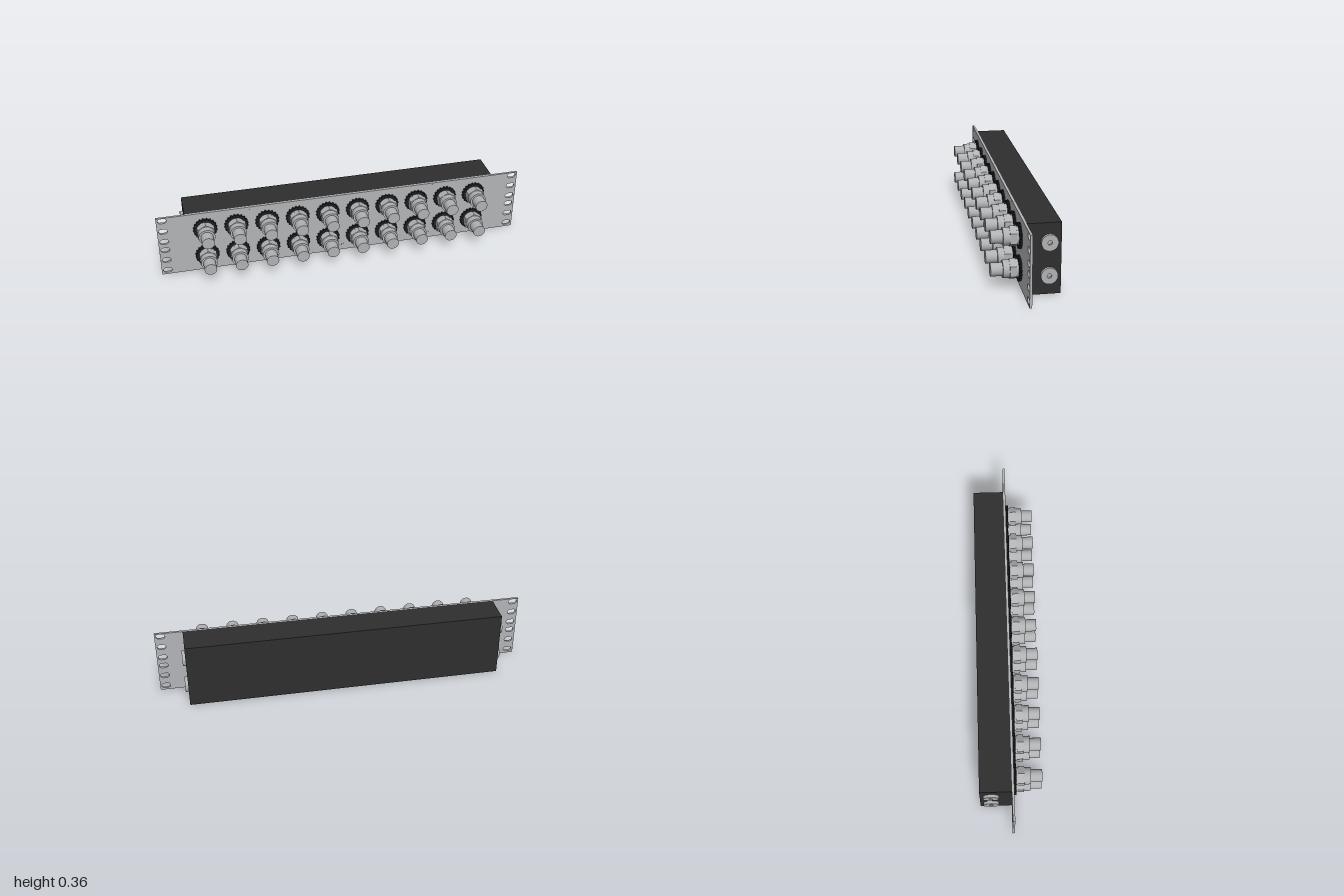
import * as THREE from 'three';

const mat = (name, color) => {
  const m = new THREE.MeshStandardMaterial({ color });
  m.name = name;
  return m;
};

// Closed outline from a radius rule, r(i), around the origin
function outline(Type, n, radius, phase = 0) {
  const pts = [];
  for (let i = 0; i < n; i++) {
    const a = phase + (i / n) * Math.PI * 2, r = radius(i);
    pts.push(new THREE.Vector2(Math.cos(a) * r, Math.sin(a) * r));
  }
  return new Type(pts);
}

const extrude = (shape, z0, z1) =>
  new THREE.ExtrudeGeometry(shape, { depth: z1 - z0, bevelEnabled: false, curveSegments: 10 }).translate(0, 0, z0);

const rod = (r, z0, z1) =>
  new THREE.CylinderGeometry(r, r, z1 - z0, 32).rotateX(Math.PI / 2).translate(0, 0, (z0 + z1) / 2);

export function createModel() {
  const model = new THREE.Group();
  const panelGrey = mat('panel grey', 0xb2b3b6);
  const metal = mat('connector metal', 0xb0b1b3);
  const black = mat('housing black', 0x2e2e2e);
  const washerBlack = mat('washer black', 0x1f2022);

  const add = (parent, name, geometry, material) => {
    const mesh = new THREE.Mesh(geometry, material);
    mesh.name = name;
    parent.add(mesh);
    return mesh;
  };

  const H = 0.36, rows = [0.097, 0.264];

  // Front panel with rounded rack slots at both ends
  const panel = new THREE.Shape();
  panel.moveTo(-1, 0).lineTo(1, 0).lineTo(1, H).lineTo(-1, H).closePath();
  const slotR = 0.0145, slotHalf = 0.009;
  for (const x of [-0.968, 0.968]) {
    for (const y of [0.026, 0.092, 0.157, 0.21, 0.276, 0.342]) {
      const slot = new THREE.Path();
      slot.absarc(x + slotHalf, y, slotR, -Math.PI / 2, Math.PI / 2, false);
      slot.absarc(x - slotHalf, y, slotR, Math.PI / 2, Math.PI * 1.5, false);
      slot.closePath();
      panel.holes.push(slot);
    }
  }
  add(model, 'frontPanel', extrude(panel, 0.004, 0.016), panelGrey);

  // Rear housing
  add(model, 'housing', new THREE.BoxGeometry(1.7, H, 0.166).translate(0, H / 2, -0.079), black);

  // Flush panel screws along the top and bottom edges
  for (const x of [-0.5, 0, 0.5]) {
    for (const y of [0.03, 0.345]) {
      add(model, 'panelScrew', rod(0.009, 0.012, 0.0165), panelGrey).position.set(x, y, 0);
    }
  }

  // Connectors: toothed washer, neck, hex nut, collar and barrel
  const teeth = 20;
  const toothed = outline(THREE.Shape, teeth * 4, i => (i % 4 < 2 ? 0.064 : 0.058), Math.PI / 40);
  const washerGeo = extrude(toothed, 0.016, 0.029);
  const neckGeo = rod(0.046, 0.016, 0.038);
  const nutGeo = extrude(outline(THREE.Shape, 6, () => 0.0525, Math.PI / 2), 0.038, 0.071);
  const collarGeo = rod(0.044, 0.071, 0.104);
  const barrelGeo = rod(0.033, 0.104, 0.1625);
  for (const y of rows) {
    for (let i = 0; i < 10; i++) {
      const connector = new THREE.Group();
      connector.name = 'connector';
      add(connector, 'toothedWasher', washerGeo, washerBlack);
      add(connector, 'neck', neckGeo, metal);
      add(connector, 'hexNut', nutGeo, metal);
      add(connector, 'collar', collarGeo, metal);
      add(connector, 'barrel', barrelGeo, metal);
      connector.position.set((i - 4.5) * 0.166 - 0.002, y, 0);
      model.add(connector);
    }
  }

  // Side plugs with a hexagonal socket
  const plugShape = new THREE.Shape().absarc(0, 0, 0.041, 0, Math.PI * 2);
  plugShape.holes.push(outline(THREE.Path, 6, () => 0.012));
  const plugGeo = new THREE.ExtrudeGeometry(plugShape, { depth: 0.012, bevelEnabled: false, curveSegments: 32 })
    .translate(0, 0, 0.004);
  const plugBaseGeo = rod(0.041, 0, 0.004);
  for (const side of [-1, 1]) {
    for (const y of rows) {
      const plug = new THREE.Group();
      plug.name = 'sidePlug';
      add(plug, 'plugHead', plugGeo, metal);
      add(plug, 'socketFloor', plugBaseGeo, metal);
      plug.rotation.y = side * Math.PI / 2;
      plug.position.set(side * 0.85, y, -0.104);
      model.add(plug);
    }
  }

  return model;
}
